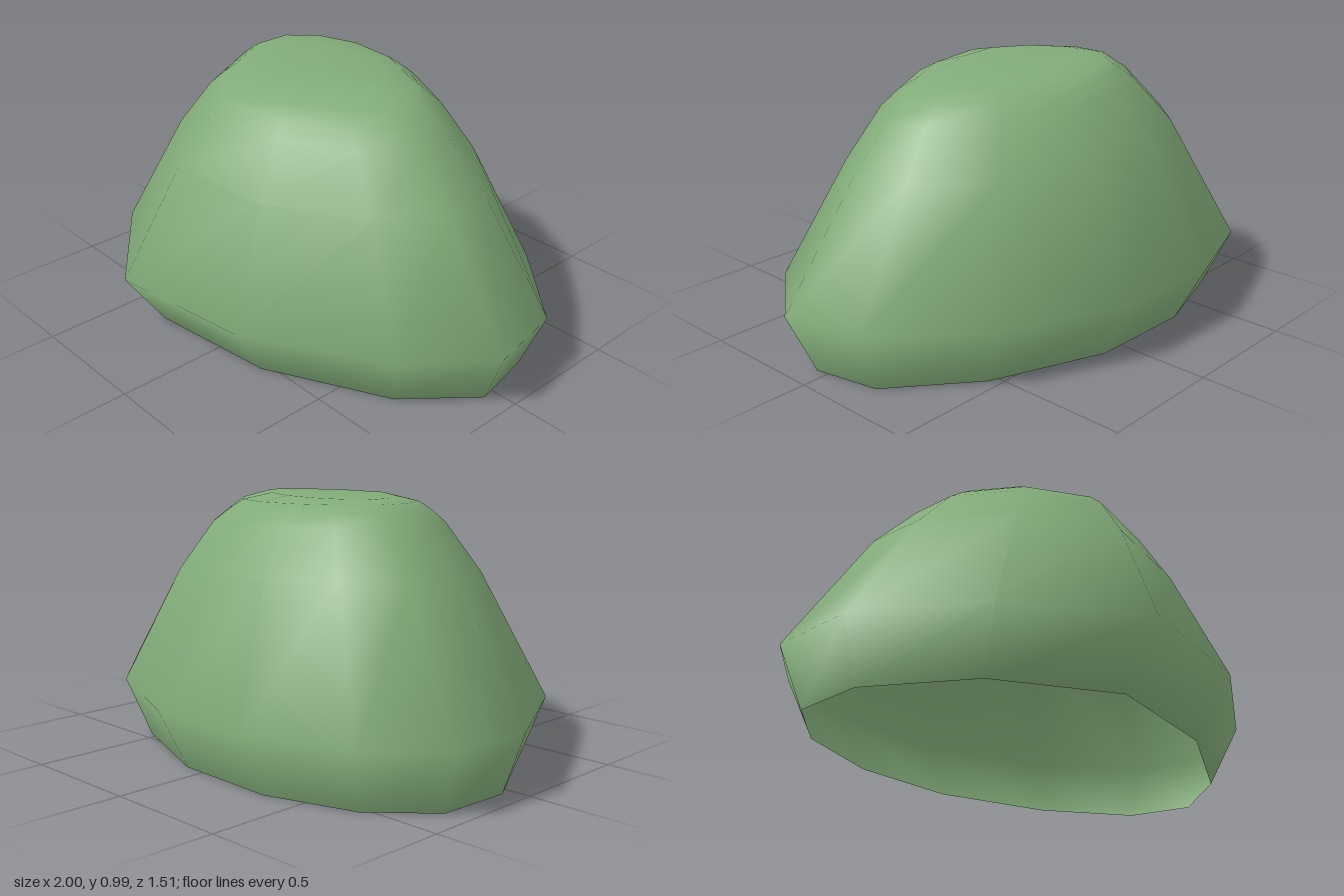
import * as THREE from 'three';

// Widest outline of the mound, as x, z corners
const outline = [
  [-0.36, -0.76], [0.11, -0.745], [0.60, -0.535], [0.94, -0.23],
  [1.0, 0.085], [0.765, 0.39], [0.25, 0.675], [-0.33, 0.755],
  [-0.765, 0.425], [-1.0, -0.035], [-0.98, -0.39], [-0.75, -0.625],
];

// Rings from the open base to the crown: height, x scale, z scale, x shift, z shift, tilt
const rings = [
  [0, 0.91, 0.82, -0.01, -0.02, 0],
  [0.235, 1, 1, 0, 0, 0],
  [0.695, 0.695, 0.72, 0, 0, 0.03],
  [0.88, 0.535, 0.555, -0.005, 0, 0.02],
  [0.93, 0.465, 0.48, -0.015, 0, 0.015],
  [0.965, 0.41, 0.405, -0.03, -0.015, 0.01],
  [0.99, 0.31, 0.25, -0.05, -0.02, 0],
];

function moundGeometry() {
  const n = outline.length;
  const positions = [];
  const indices = [];
  for (const [y, sx, sz, dx, dz, tilt] of rings) {
    for (const [x, z] of outline) {
      positions.push(x * sx + dx, y - tilt * (x + z), z * sz + dz);
    }
  }
  const crown = rings.length * n;
  positions.push(-0.05, 0.992, -0.02);

  for (let r = 0; r < rings.length; r++) {
    for (let i = 0; i < n; i++) {
      const a = r * n + i;
      const b = r * n + (i + 1) % n;
      if (r === rings.length - 1) indices.push(a, crown, b);
      else indices.push(a, a + n, b, b, a + n, b + n);
    }
  }
  const geometry = new THREE.BufferGeometry();
  geometry.setAttribute('position', new THREE.Float32BufferAttribute(positions, 3));
  geometry.setIndex(indices);
  geometry.computeVertexNormals();
  return geometry;
}

export function createModel() {
  const group = new THREE.Group();
  group.name = 'bush';
  // Hollow leafy mound, open underneath
  const mound = new THREE.Mesh(
    moundGeometry(),
    new THREE.MeshStandardMaterial({ color: 0x82ab79, side: THREE.DoubleSide }),
  );
  mound.name = 'foliage';
  group.add(mound);
  return group;
}
